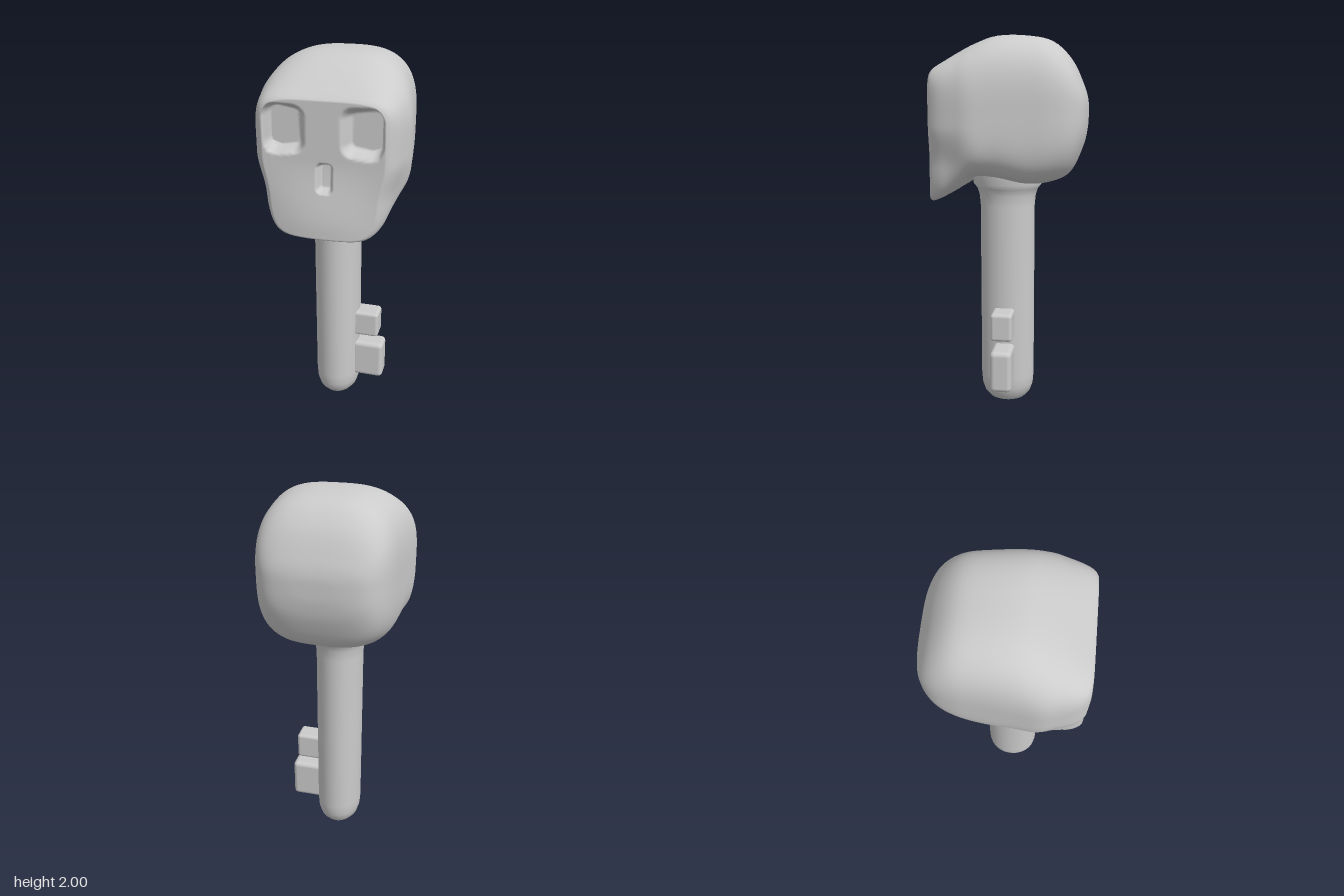
import * as THREE from 'three';
import { RoundedBoxGeometry } from 'three/addons/geometries/RoundedBoxGeometry.js';

const { smoothstep, clamp } = THREE.MathUtils;
const MID = 1.62; // height of the widest line of the skull

// Skull cross-sections from back to front: z, top, bottom, half width, squareness above and below
const SECTIONS = [
  [-0.41, 1.62, 1.62, 0, 3, 3],
  [-0.407, 1.68, 1.54, 0.13, 3, 3],
  [-0.385, 1.755, 1.44, 0.235, 3, 3],
  [-0.325, 1.88, 1.315, 0.30, 3, 3],
  [-0.23, 1.97, 1.265, 0.335, 3, 3.4],
  [-0.10, 2.0, 1.255, 0.352, 3, 4],
  [0.05, 2.0, 1.285, 0.37, 3, 4],
  [0.16, 1.963, 1.29, 0.381, 3, 4.5],
  [0.24, 1.92, 1.225, 0.366, 3.3, 5],
  [0.31, 1.875, 1.18, 0.345, 4, 6],
  [0.355, 1.845, 1.16, 0.317, 5, 6],
  [0.372, 1.83, 1.167, 0.295, 5, 6],
];

// Signed distance to a rounded rectangle
function roundedRect(x, y, halfW, halfH, r) {
  const qx = Math.abs(x) - halfW + r, qy = Math.abs(y) - halfH + r;
  return Math.hypot(Math.max(qx, 0), Math.max(qy, 0)) + Math.min(Math.max(qx, qy), 0) - r;
}

// Forward swell of the jaw
function jawSwell(x, y) {
  return (1 - smoothstep(y, 1.2, 1.55)) * (0.04 - 0.5 * x * x);
}

// Depth of the eye sockets and nose hole
function socketDepth(x, y) {
  const ax = Math.abs(x);
  const eye = roundedRect(ax - 0.185, y - 1.69, 0.105, 0.122, 0.065);
  const slope = clamp(0.035 - (ax - 0.185) * 0.2, 0.02, 0.055);
  const nose = roundedRect(x - 0.008, y - 1.465, 0.043, 0.076, 0.03);
  return 0.07 * smoothstep(-eye, 0, slope) + 0.045 * smoothstep(-nose, 0, 0.022);
}

function skullGeometry() {
  const around = 160, along = 55, capRings = 60;
  const spline = (f) => new THREE.CatmullRomCurve3(SECTIONS.map(f), false, 'catmullrom', 0.5);
  const size = spline((s) => new THREE.Vector3(s[0], s[1], s[2]));
  const shape = spline((s) => new THREE.Vector3(s[3], s[4], s[5]));
  const positions = [], index = [];

  // Outline point of the section at t
  function outline(t, angle) {
    const { x: z, y: top, z: bottom } = size.getPoint(t);
    const { x: halfW, y: nTop, z: nBottom } = shape.getPoint(t);
    const c = Math.cos(angle), s = Math.sin(angle);
    const n = s > 0 ? nTop : nBottom;
    const r = Math.pow(Math.abs(c) ** n + Math.abs(s) ** n, -1 / n);
    const y = MID + r * s * (s > 0 ? top - MID : MID - bottom);
    const jaw = 0.1 * smoothstep(z, 0.1, 0.3) * (1 - smoothstep(y, 1.35, 1.55));
    const x = halfW * r * c * (1 - jaw);
    return [x, y, z + jawSwell(x, y) * smoothstep(z, 0.15, 0.372)];
  }

  // Cranium rings, then face rings shrinking to the middle
  const rings = along + capRings;
  for (let i = 0; i <= rings; i++) {
    for (let j = 0; j < around; j++) {
      const angle = (j / around) * Math.PI * 2;
      const p = outline(Math.min(i / along, 1), angle);
      if (i > along) {
        const f = 1 - (i - along) / capRings;
        p[0] *= f;
        p[1] = 1.52 + (p[1] - 1.52) * f;
        p[2] = 0.372 + jawSwell(p[0], p[1]) - socketDepth(p[0], p[1]);
      }
      positions.push(...p);
      if (i < rings) {
        const a = i * around + j, b = i * around + ((j + 1) % around);
        index.push(a, b, a + around, b, b + around, a + around);
      }
    }
  }
  const geometry = new THREE.BufferGeometry();
  geometry.setAttribute('position', new THREE.Float32BufferAttribute(positions, 3));
  geometry.setIndex(index);
  geometry.computeVertexNormals();
  return geometry;
}

// Round-ended shaft flaring into the skull
function shaftGeometry() {
  const points = [[0.018, 0.004], [0.05, 0.006], [0.082, 0.022], [0.108, 0.055], [0.121, 0.1],
    [0.125, 0.16], [0.125, 0.6], [0.125, 1.12], [0.13, 1.18], [0.14, 1.215], [0.157, 1.24], [0.157, 1.32]];
  return new THREE.LatheGeometry(points.map(([r, y]) => new THREE.Vector2(r, y)), 40).scale(1, 1, 1.18);
}

export function createModel() {
  const group = new THREE.Group();
  const material = new THREE.MeshStandardMaterial({ color: 0xcccccc });
  const add = (name, geometry, x, y, z, mat = material) => {
    const mesh = new THREE.Mesh(geometry, mat);
    mesh.name = name;
    mesh.position.set(x, y, z);
    group.add(mesh);
  };

  add('skull', skullGeometry(), 0, 0, 0);
  const open = material.clone();
  open.side = THREE.DoubleSide;
  add('shaft', shaftGeometry(), -0.02, 0, 0.018, open);

  // Key teeth
  add('upperTooth', new RoundedBoxGeometry(0.15, 0.15, 0.115, 3, 0.018), 0.147, 0.493, 0.022);
  add('lowerTooth', new RoundedBoxGeometry(0.18, 0.225, 0.115, 3, 0.025), 0.162, 0.255, 0.022);
  return group;
}
